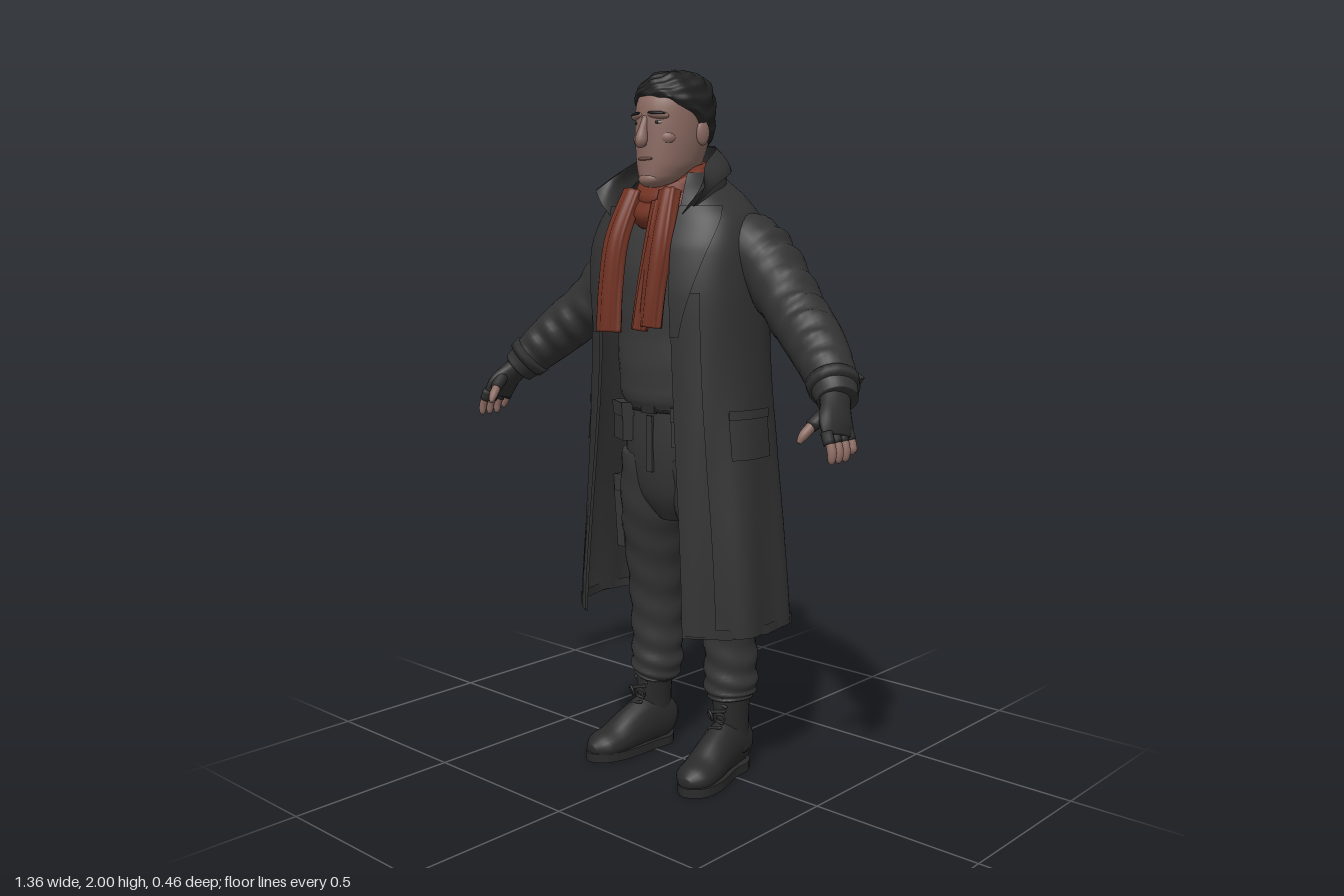
import * as THREE from 'three';

const mat = (name, color, side = THREE.DoubleSide) => {
  const m = new THREE.MeshStandardMaterial({ color, side });
  m.name = name;
  return m;
};
const { sin, cos, PI, abs, sign, max, min, floor, pow, acos } = Math;
const lerp = THREE.MathUtils.lerp;

// Smooth interpolation of every column of a station table, segment i, fraction f
const smooth = (tab, i, f) => tab[i].map((_, k) => {
  const p = j => tab[max(0, min(tab.length - 1, j))][k];
  const a = p(i), b = p(i + 1), m0 = (b - p(i - 1)) / 2, m1 = (p(i + 2) - a) / 2;
  return a + m0 * f + (3 * (b - a) - 2 * m0 - m1) * f * f + (2 * (a - b) + m0 + m1) * f * f * f;
});
const along = (tab, t) => {
  const s = t * (tab.length - 1), i = min(floor(s), tab.length - 2);
  return smooth(tab, i, s - i);
};
const atHeight = (tab, y) => {
  let i = 0;
  while (i < tab.length - 2 && y > tab[i + 1][0]) i++;
  return smooth(tab, i, (y - tab[i][0]) / (tab[i + 1][0] - tab[i][0]));
};

// Surface through rows of points
function grid(rows, closed = false) {
  const n = rows[0].length, idx = [];
  for (let i = 0; i < rows.length - 1; i++)
    for (let j = 0; j < (closed ? n : n - 1); j++) {
      const k = (j + 1) % n, a = i * n + j, b = i * n + k, c = a + n, d = b + n;
      idx.push(a, c, b, b, c, d);
    }
  const g = new THREE.BufferGeometry();
  g.setAttribute('position', new THREE.Float32BufferAttribute(rows.flat(2), 3));
  g.setIndex(idx);
  g.computeVertexNormals();
  return g;
}
const patch = (fn, nu, nv) => grid(Array.from({ length: nv + 1 }, (_, i) =>
  Array.from({ length: nu + 1 }, (_, j) => fn(j / nu, i / nv))));

// Elliptical tube through stations [x, y, z, radiusU, radiusV]
function sweep(tab, { ref = [0, 0, 1], n = 20, seg = 24, power = 2, wrinkle = () => 0, floorY = -1 } = {}) {
  const R = new THREE.Vector3(...ref), rows = [], e = 2 / power;
  const P = t => new THREE.Vector3(...along(tab, t).slice(0, 3));
  for (let i = 0; i <= seg; i++) {
    const t = i / seg, s = along(tab, t), c = P(t);
    const T = P(min(1, t + 0.01)).sub(P(max(0, t - 0.01))).normalize();
    const u = T.clone().cross(R).normalize(), v = u.clone().cross(T);
    const ring = Array.from({ length: n }, (_, j) => {
      const a = j / n * 2 * PI, w = wrinkle(t, a);
      const cu = sign(cos(a)) * pow(abs(cos(a)), e), cv = sign(sin(a)) * pow(abs(sin(a)), e);
      const p = c.clone().addScaledVector(u, cu * (s[3] + w)).addScaledVector(v, cv * (s[4] + w));
      return [p.x, max(p.y, floorY), p.z];
    });
    const hub = ring.map(() => [c.x, max(c.y, floorY), c.z]);
    if (i === 0) rows.push(hub);
    rows.push(ring);
    if (i === seg) rows.push(hub);
  }
  return grid(rows, true);
}

// Coat: height, half width, front z, back z, left opening, right opening, x shift
const COAT = [
  [0.455, 0.335, 0.2, -0.222, 0.18, 0.19, -0.013], [0.7, 0.316, 0.2, -0.205, 0.165, 0.18, -0.005],
  [1.0, 0.283, 0.2, -0.19, 0.14, 0.165, 0.003], [1.2, 0.266, 0.202, -0.184, 0.13, 0.145, 0.004],
  [1.4, 0.262, 0.202, -0.184, 0.125, 0.13, 0.003], [1.52, 0.258, 0.185, -0.177, 0.12, 0.12, 0],
  [1.6, 0.235, 0.155, -0.16, 0.115, 0.115, 0], [1.66, 0.18, 0.13, -0.137, 0.105, 0.105, 0],
  [1.72, 0.11, 0.1, -0.1, 0.085, 0.085, 0]];
function coatPoint(u, y, off = 0) {
  const [, a, zf, zb, oL, oR, cx] = atHeight(COAT, y), n = 2.5;
  const th = lerp(acos(pow(oL / a, n / 2)), -PI - acos(pow(oR / a, n / 2)), u);
  const fold = 0.009 * max(0, min(1, (1.3 - y) / 0.8)) * sin(u * 44 + 1.5 * sin(y * 3));
  const f = v => sign(v) * pow(abs(v), 2 / n), r = off + fold;
  return [cx + (a + r) * f(cos(th)), y, (zf + zb) / 2 + ((zf - zb) / 2 + r) * f(sin(th))];
}
const coatPatch = (u0, u1, y0, y1, off) => patch((a, b) => {
  const y = lerp(y0, y1, b), end = typeof u1 === 'function' ? u1(b) : u1;
  return coatPoint(lerp(u0, u0 + end, a), y, off);
}, 10, 30);

// Head: height, centre z, half width, half depth
const HEAD = [[1.682, 0.1, 0.03, 0.045], [1.7, 0.078, 0.055, 0.077], [1.74, 0.056, 0.078, 0.1],
  [1.8, 0.044, 0.09, 0.112], [1.86, 0.036, 0.095, 0.119], [1.91, 0.032, 0.094, 0.116],
  [1.955, 0.027, 0.078, 0.094], [1.98, 0.024, 0.048, 0.06], [1.989, 0.022, 0.002, 0.002]];
function headPoint(th, y, off = 0) {
  const [, cz, rx, rz] = atHeight(HEAD, y);
  return [(rx + off) * cos(th), y, cz + (rz + off) * sin(th)];
}

export function createModel() {
  const model = new THREE.Group();
  const M = {
    coat: mat('coat cloth', 0x333333), trousers: mat('trouser cloth', 0x353535), shirt: mat('sweater', 0x3a3a3a),
    boot: mat('boot leather', 0x2a2a2a), glove: mat('glove', 0x2e2e2e), hair: mat('hair', 0x212121),
    skin: mat('skin', 0x8a6a61), scarf: mat('scarf', 0x713223), lip: mat('lips', 0x704f48), eye: mat('eyes', 0x958b85)
  };
  const add = (name, geo, m, pos, rot, scale) => {
    const o = new THREE.Mesh(geo, m);
    o.name = name;
    if (pos) o.position.set(...pos);
    if (rot) o.rotation.set(...rot);
    if (scale) o.scale.set(...scale);
    model.add(o);
    return o;
  };
  const ball = new THREE.SphereGeometry(1, 20, 14);
  const box = (x, y, z) => new THREE.BoxGeometry(x, y, z);

  // Head and face
  const headRows = Array.from({ length: 33 }, (_, i) =>
    Array.from({ length: 32 }, (_, j) => headPoint(j / 16 * PI, lerp(1.682, 1.989, i / 32))));
  headRows.unshift(headRows[0].map(() => [0, 1.68, 0.1]));
  add('head', grid(headRows, true), M.skin);
  add('neck', sweep([[0, 1.58, 0, 0.075, 0.075], [0, 1.66, 0.012, 0.068, 0.07], [0, 1.77, 0.03, 0.068, 0.075]]), M.skin);
  add('nose', sweep([[0, 1.868, 0.147, 0.01, 0.01], [0, 1.835, 0.158, 0.012, 0.014],
    [0, 1.803, 0.167, 0.018, 0.018], [0, 1.792, 0.16, 0.012, 0.01]], { n: 12, seg: 10 }), M.skin);
  add('chin', ball, M.skin, [0, 1.702, 0.135], null, [0.034, 0.02, 0.024]);
  add('mouth', ball, M.lip, [0, 1.757, 0.148], null, [0.028, 0.006, 0.012]);
  for (const s of [-1, 1]) {
    add('ear', ball, M.skin, [s * 0.097, 1.828, 0.025], [0, s * -0.3, 0], [0.011, 0.034, 0.021]);
    add('brow', ball, M.skin, [s * 0.037, 1.872, 0.138], [0, s * 0.35, s * -0.1], [0.032, 0.011, 0.015]);
    add('eyebrow', ball, M.hair, [s * 0.039, 1.877, 0.147], [0, s * 0.4, s * -0.08], [0.026, 0.005, 0.008]);
    add('eye', ball, M.eye, [s * 0.037, 1.853, 0.139], [0, s * 0.35, 0], [0.014, 0.006, 0.007]);
    add('pupil', ball, M.hair, [s * 0.037, 1.853, 0.144], null, [0.005, 0.005, 0.004]);
    add('cheek', ball, M.skin, [s * 0.05, 1.812, 0.118], [0, s * 0.6, 0], [0.026, 0.02, 0.018]);
  }

  // Short hair, lower at the nape and higher over the forehead
  add('hair', patch((u, v) => {
    const th = u * 2 * PI, f = sin(th);
    const line = f > 0 ? lerp(1.85, 1.925, pow(f, 0.7)) : lerp(1.85, 1.785, pow(-f, 0.6));
    const y = lerp(line, 1.989, v), lump = 0.0035 * sin(th * 9 + v * 7) * sin(v * 15 + th * 2);
    const p = headPoint(th, y, (0.01 + lump) * min(1, v * 8 + 0.15));
    p[1] += 0.01 * v + lump;
    return p;
  }, 64, 24), M.hair);

  // Sweater, hips and belt
  add('sweater', sweep([[0, 1.08, 0.005, 0.182, 0.135], [0, 1.14, 0.01, 0.195, 0.148], [0, 1.3, 0.01, 0.2, 0.15],
    [0, 1.45, 0.01, 0.205, 0.15], [0, 1.57, 0.0, 0.17, 0.125], [0, 1.67, 0, 0.085, 0.08]],
  { n: 36, wrinkle: (t, a) => 0.003 * sin(t * 40 + 3 * sin(a)) * (1 - t) }), M.shirt);
  add('hips', sweep([[0, 0.74, 0, 0.06, 0.07], [0, 0.82, 0, 0.155, 0.115], [0, 0.95, 0, 0.185, 0.135],
    [0, 1.1, 0, 0.178, 0.13]], { n: 32 }), M.trousers);
  add('belt', sweep([[0, 1.06, 0, 0.186, 0.139], [0, 1.095, 0, 0.186, 0.139]], { n: 32, seg: 2 }), M.boot);
  add('buckle', box(0.05, 0.04, 0.012), M.boot, [0, 1.077, 0.14]);
  add('fly', box(0.022, 0.16, 0.008), M.trousers, [0, 0.97, 0.136]);

  // Coat body, collar and details
  add('coatBody', patch((u, v) => coatPoint(u, lerp(0.455, 1.72, v)), 110, 70), M.coat);
  add('coatHem', coatPatch(0, 1, 0.452, 0.48, 0.006), M.coat);
  add('backSeam', coatPatch(0.494, 0.012, 0.46, 1.66, 0.005), M.coat);
  for (const left of [true, false]) {
    const w = left ? 1 : -1, u0 = left ? 0 : 1;
    add('placket', coatPatch(u0, 0.07 * w, 0.46, 1.4, 0.007), M.coat);
    add('lapel', coatPatch(u0, b => w * (0.02 + 0.11 * pow(b, 1.3)), 1.28, 1.63, 0.016), M.coat);
    add('pocketFlap', coatPatch(left ? 0.13 : 0.87, 0.1 * w, 0.95, 1.08, 0.018), M.coat);
    add('pocketWelt', coatPatch(left ? 0.13 : 0.87, 0.1 * w, 1.06, 1.085, 0.022), M.coat);
  }
  const half = {
    base: [[0.12, 1.59, 0.15], [0.165, 1.645, 0.07], [0.13, 1.685, -0.04], [0, 1.7, -0.11]],
    mid: [[0.165, 1.635, 0.155], [0.165, 1.7, 0.07], [0.122, 1.74, -0.04], [0, 1.75, -0.108]],
    top: [[0.205, 1.675, 0.14], [0.15, 1.735, 0.075], [0.108, 1.785, -0.02], [0, 1.797, -0.088]]
  };
  const ring = k => [...half[k], ...half[k].slice(0, 3).reverse().map(([x, y, z]) => [-x, y, z])];
  const collarRows = [ring('base'), ring('mid'), ring('top')];
  add('collar', patch((u, v) => along(collarRows.map(r => along(r, u)), v), 36, 10), M.coat);
  add('collarFold', patch((u, v) => {
    const p = along(collarRows.map(r => along(r, u)), 1 - v * 0.62), k = 0.014 * sin(v * PI / 2);
    return [p[0] * (1 + k * 5), p[1] + 0.003 * (1 - v), p[2] - k];
  }, 36, 8), M.coat);

  // Scarf: two wraps and hanging ends
  const wrap = (y, drop, rx, rz, r) => sweep(Array.from({ length: 17 }, (_, i) => {
    const a = i / 8 * PI - PI / 2;
    return [rx * cos(a), y - drop * sin(a) * (sin(a) > 0 ? 1.3 : 0.4), 0.025 + rz * sin(a), r, r * 1.25];
  }), { ref: [0, 1, 0], n: 14, seg: 48, wrinkle: (t, a) => 0.003 * sin(a * 5 + t * 9) });
  add('scarfInnerWrap', wrap(1.705, 0.045, 0.082, 0.09, 0.026), M.scarf);
  add('scarfOuterWrap', wrap(1.675, 0.055, 0.098, 0.106, 0.028), M.scarf);
  const pleat = { n: 28, seg: 30, power: 2.6, wrinkle: (t, a) => 0.003 * cos(a * 7 + t * 2) };
  add('scarfRightEnd', sweep([[-0.08, 1.285, 0.214, 0.041, 0.018], [-0.082, 1.4, 0.205, 0.039, 0.02],
    [-0.078, 1.54, 0.182, 0.036, 0.022], [-0.07, 1.67, 0.12, 0.03, 0.024]], pleat), M.scarf);
  add('scarfLeftEnd', sweep([[0.075, 1.305, 0.21, 0.034, 0.018], [0.08, 1.4, 0.202, 0.034, 0.02],
    [0.085, 1.54, 0.178, 0.036, 0.022], [0.065, 1.67, 0.12, 0.03, 0.024]], pleat), M.scarf);
  add('scarfLeftUnderEnd', sweep([[0.03, 1.295, 0.208, 0.02, 0.018], [0.042, 1.4, 0.198, 0.022, 0.018],
    [0.055, 1.54, 0.172, 0.025, 0.02], [0.04, 1.64, 0.13, 0.025, 0.02]], pleat), M.scarf);

  // Limbs, mirrored
  for (const s of [-1, 1]) {
    const flip = tab => tab.map(([x, ...r]) => [s * x, ...r]);
    const limb = (name, tab, m, opt) => add(name, sweep(flip(tab), opt), m);

    limb('sleeve', [[0.15, 1.55, -0.03, 0.08, 0.09], [0.222, 1.512, -0.04, 0.095, 0.1], [0.29, 1.452, -0.045, 0.088, 0.092],
      [0.39, 1.345, -0.025, 0.081, 0.085], [0.48, 1.27, 0.01, 0.077, 0.08], [0.555, 1.2, 0.05, 0.066, 0.07],
      [0.61, 1.14, 0.09, 0.05, 0.056]],
    M.coat, { n: 28, seg: 60, wrinkle: (t, a) => 0.0045 * sin(t * 62 + 2 * sin(a)) * sin(t * PI) * (1 + sin(a * 2 + t * 5)) });
    limb('cuffStrap', [[0.572, 1.184, 0.062, 0.068, 0.072], [0.59, 1.164, 0.076, 0.064, 0.068]], M.coat, { seg: 2 });
    add('cuffTab', box(0.03, 0.035, 0.075), M.coat, [s * 0.607, 1.185, 0.03], [0, s * 0.2, s * -0.6]);

    // Fingerless glove with bare fingertips
    limb('glove', [[0.592, 1.16, 0.08, 0.038, 0.044], [0.618, 1.125, 0.11, 0.03, 0.046], [0.637, 1.09, 0.133, 0.026, 0.058],
      [0.65, 1.058, 0.142, 0.018, 0.054]], M.glove, { n: 18, seg: 14 });
    for (let i = 0; i < 4; i++) {
      const z = 0.098 + i * 0.029, d = i === 0 ? 0.014 : 0;
      limb('gloveFinger', [[0.645, 1.075, z, 0.015, 0.016], [0.658, 1.045, z + 0.003, 0.015, 0.015]], M.glove, { n: 10, seg: 3 });
      limb('finger', [[0.655, 1.055, z, 0.012, 0.012], [0.666, 1.028, z + 0.004, 0.012, 0.012],
        [0.667, 1.006 + d, z + 0.006, 0.01, 0.01], [0.666, 0.997 + d, z + 0.006, 0.004, 0.004]], M.skin, { n: 10, seg: 8 });
    }
    limb('gloveThumb', [[0.618, 1.115, 0.15, 0.02, 0.02], [0.602, 1.085, 0.19, 0.017, 0.017]], M.glove, { n: 10, seg: 4 });
    limb('thumb', [[0.605, 1.092, 0.18, 0.013, 0.013], [0.594, 1.065, 0.207, 0.013, 0.013],
      [0.588, 1.045, 0.221, 0.006, 0.006]], M.skin, { n: 10, seg: 8 });

    // Trouser leg and pockets
    limb('trouserLeg', [[0.152, 0.215, -0.045, 0.056, 0.064], [0.148, 0.25, -0.047, 0.074, 0.08], [0.146, 0.34, -0.048, 0.074, 0.08],
      [0.143, 0.48, -0.04, 0.076, 0.083], [0.13, 0.64, -0.02, 0.085, 0.094], [0.108, 0.79, 0, 0.096, 0.11],
      [0.092, 0.93, 0, 0.09, 0.125]],
    M.trousers, { n: 28, seg: 60, wrinkle: (t, a) => 0.004 * sin(t * 55 + 2.5 * cos(a)) * (1 - 0.6 * t) });
    add('thighPocket', box(0.03, 0.2, 0.12), M.trousers, [s * 0.2, 0.73, 0], [0, 0, s * -0.08]);
    add('thighPocketFlap', box(0.036, 0.05, 0.13), M.trousers, [s * 0.198, 0.825, 0], [0, 0, s * -0.08]);
    add('beltPouch', box(0.085, 0.1, 0.03), M.trousers, [s * 0.125, 1.02, 0.115], [0, s * 0.5, 0]);
    add('beltPouchFlap', box(0.092, 0.04, 0.036), M.trousers, [s * 0.125, 1.06, 0.116], [0, s * 0.5, 0]);

    // Boot
    limb('bootShaft', [[0.155, 0.06, -0.045, 0.048, 0.062], [0.155, 0.15, -0.042, 0.045, 0.06],
      [0.153, 0.24, -0.043, 0.05, 0.064]], M.boot, { seg: 10 });
    limb('bootFoot', [[0.15, 0.06, -0.11, 0.02, 0.03], [0.15, 0.07, -0.09, 0.044, 0.06], [0.155, 0.085, -0.03, 0.05, 0.082],
      [0.165, 0.07, 0.04, 0.053, 0.07], [0.176, 0.046, 0.11, 0.058, 0.05], [0.184, 0.038, 0.165, 0.052, 0.038],
      [0.188, 0.035, 0.198, 0.018, 0.016]], M.boot, { ref: [0, 1, 0], floorY: 0.018, seg: 30 });
    const outline = [[0.15, -0.112], [0.106, -0.07], [0.11, 0.0], [0.115, 0.1], [0.14, 0.175], [0.188, 0.205],
      [0.235, 0.17], [0.24, 0.1], [0.21, 0], [0.2, -0.07]].map(([x, z]) => new THREE.Vector2(s * x, -z));
    const sole = new THREE.Shape(new THREE.CatmullRomCurve3(outline.map(p => new THREE.Vector3(p.x, p.y, 0)), true).getPoints(40)
      .slice(0, -1).map(p => new THREE.Vector2(p.x, p.y)));
    add('sole', new THREE.ExtrudeGeometry(sole, { depth: 0.026, bevelEnabled: false }), M.boot, [0, 0, 0], [-PI / 2, 0, 0]);
    for (let i = 0; i < 5; i++)
      add('lace', new THREE.CapsuleGeometry(0.005, 0.045, 3, 8), M.glove,
        [s * 0.158, 0.125 + i * 0.022, 0.045 - i * 0.008], [0, 0, PI / 2 + (i % 2 ? 0.25 : -0.25)]);
    for (const k of [-1, 1])
      add('laceBow', new THREE.TorusGeometry(0.014, 0.004, 6, 14), M.glove, [s * 0.158 + k * 0.018, 0.18, 0.035], [0.3, k * 0.5, 0]);
  }
  return model;
}
